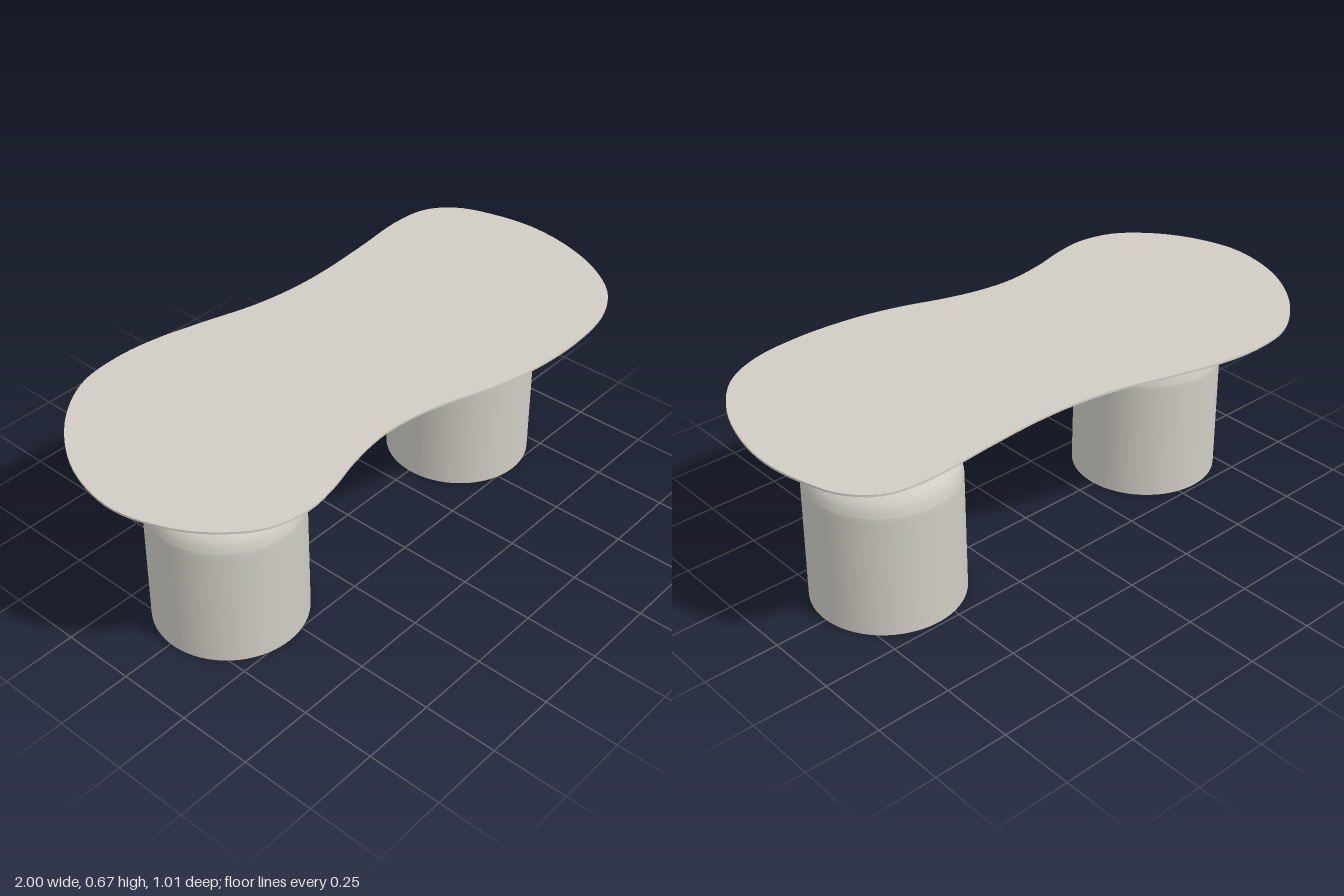
import * as THREE from 'three';

const stone = new THREE.MeshStandardMaterial({ color: 0xd0ccc3 });
stone.name = 'warm grey stone';

// Freeform outline of the top as [x, z], running from the left end along the back
const OUTLINE = [
  [-1, 0], [-0.95, -0.2], [-0.82, -0.38], [-0.66, -0.487], [-0.5, -0.51], [-0.35, -0.495],
  [-0.2, -0.457], [0, -0.4], [0.15, -0.378], [0.3, -0.374], [0.5, -0.387], [0.72, -0.405],
  [0.85, -0.383], [0.935, -0.305], [0.983, -0.17], [1, -0.03], [0.98, 0.12], [0.92, 0.28],
  [0.82, 0.41], [0.69, 0.478], [0.5, 0.503], [0.3, 0.49], [0.15, 0.457], [0, 0.405],
  [-0.12, 0.374], [-0.25, 0.362], [-0.4, 0.382], [-0.53, 0.416], [-0.65, 0.43],
  [-0.78, 0.396], [-0.9, 0.285], [-0.972, 0.15],
];

function mesh(name, geometry) {
  const m = new THREE.Mesh(geometry, stone);
  m.name = name;
  return m;
}

// Smooth closed wall between two matching loops of [x, z]
function band(lower, yLow, upper, yHigh) {
  const n = lower.length, position = [], index = [];
  for (let i = 0; i < n; i++) {
    position.push(lower[i].x, yLow, lower[i].y, upper[i].x, yHigh, upper[i].y);
    const a = 2 * i, b = 2 * ((i + 1) % n);
    index.push(a, a + 1, b, b, a + 1, b + 1);
  }
  const g = new THREE.BufferGeometry();
  g.setAttribute('position', new THREE.Float32BufferAttribute(position, 3));
  g.setIndex(index);
  g.computeVertexNormals();
  return g;
}

// Flat cap facing up (side 1) or down (side -1)
function cap(loop, y, side) {
  const shape = new THREE.Shape(loop.map(p => new THREE.Vector2(p.x, -side * p.y)));
  return new THREE.ShapeGeometry(shape).rotateX(-side * Math.PI / 2).translate(0, y, 0);
}

function lathe(points) {
  return new THREE.LatheGeometry(points.map(([r, y]) => new THREE.Vector2(r, y)), 64);
}

// Smooth profile through a few [radius, y] points
function smooth(points, count) {
  return new THREE.SplineCurve(points.map(p => new THREE.Vector2(...p)))
    .getPoints(count).map(p => [p.x, p.y]);
}

function createTop() {
  const top = new THREE.Group();
  top.name = 'tableTop';
  const curve = new THREE.CatmullRomCurve3(
    OUTLINE.map(([x, z]) => new THREE.Vector3(x, 0, z)), true, 'centripetal');
  const edge = [], inner = [];
  const count = 160;
  for (let i = 0; i < count; i++) {
    const p = curve.getPointAt(i / count), t = curve.getTangentAt(i / count);
    edge.push(new THREE.Vector2(p.x, p.z));
    // Underside is inset along the inward normal
    inner.push(new THREE.Vector2(p.x - t.z * 0.08, p.z + t.x * 0.08));
  }
  top.add(
    mesh('topSurface', cap(edge, 0.668, 1)),
    mesh('topRim', band(edge, 0.661, edge, 0.668)),
    mesh('topBevel', band(inner, 0.627, edge, 0.661)),
    mesh('topUnderside', cap(inner, 0.627, -1)),
  );
  return top;
}

function createLeg(name, x) {
  const leg = new THREE.Group();
  leg.name = name;
  // Slightly tapered drum with a domed shoulder
  const dome = smooth([[0.247, 0.42], [0.236, 0.456], [0.212, 0.484], [0.175, 0.508],
    [0.125, 0.528], [0.06, 0.54], [0, 0.542]], 28);
  const base = new THREE.CircleGeometry(0.25, 64).rotateX(Math.PI / 2);
  // Shallow bowl carrying the top
  const bowl = smooth([[0, 0.538], [0.06, 0.541], [0.12, 0.553], [0.17, 0.573],
    [0.21, 0.599], [0.235, 0.628]], 20);
  leg.add(
    mesh('legDrum', lathe([[0.25, 0], [0.2472, 0.4], ...dome])),
    mesh('legBase', base),
    mesh('legBowl', lathe(bowl)),
  );
  leg.position.set(x, 0, 0.012);
  return leg;
}

export function createModel() {
  const table = new THREE.Group();
  table.name = 'table';
  table.add(createTop(), createLeg('leftLeg', 0.57), createLeg('rightLeg', -0.567));
  return table;
}
